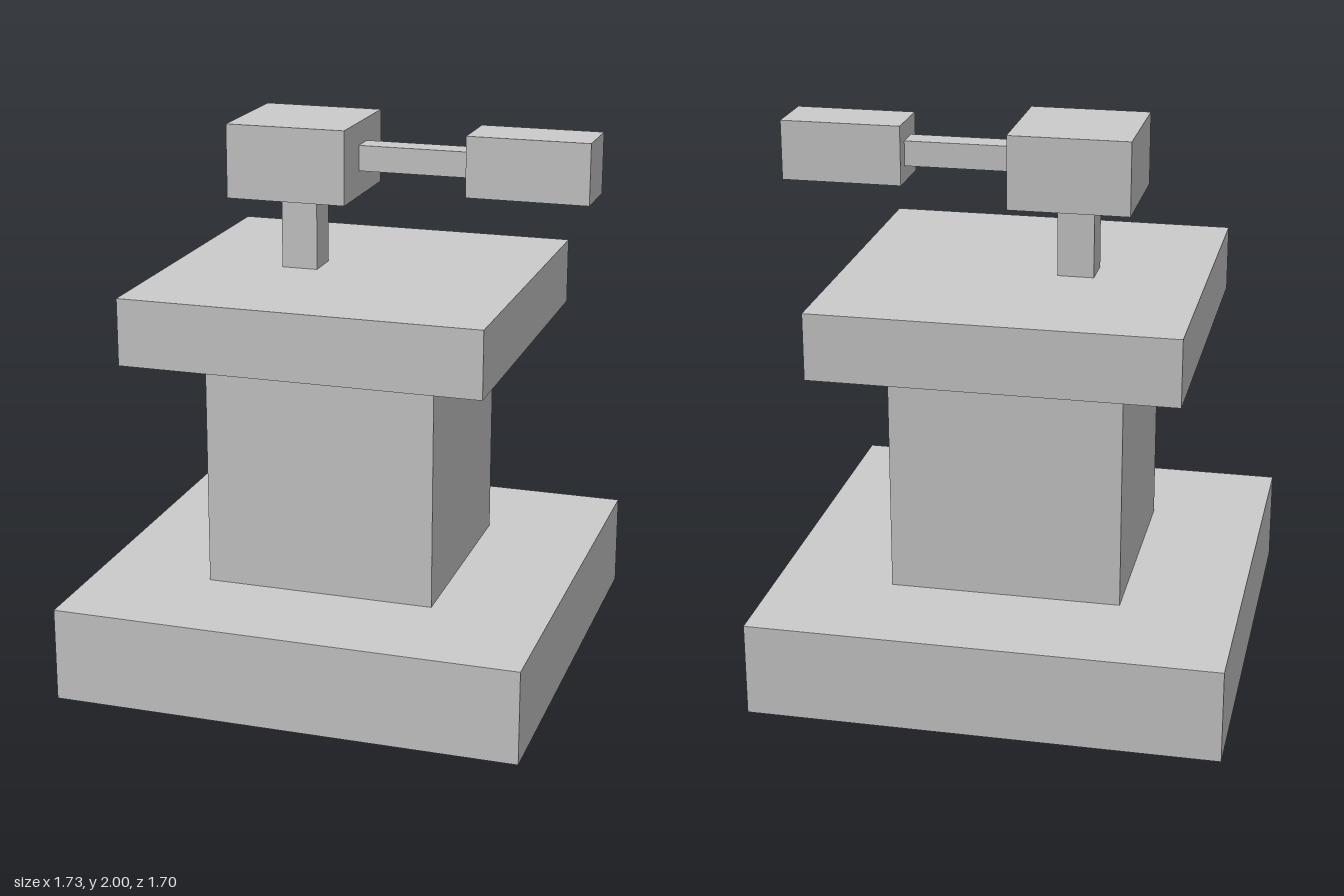
import * as THREE from 'three';

export function createModel() {
  const model = new THREE.Group();
  model.name = 'pedestalTurret';
  const material = new THREE.MeshStandardMaterial({ color: 0xcccccc, flatShading: true });

  // Box given by its x and y extents and its depth, centred on z = 0
  function addBox(name, x0, x1, y0, y1, depth) {
    const mesh = new THREE.Mesh(new THREE.BoxGeometry(x1 - x0, y1 - y0, depth), material);
    mesh.name = name;
    mesh.position.set((x0 + x1) / 2, (y0 + y1) / 2, 0);
    model.add(mesh);
  }

  // Pedestal
  addBox('base', -0.867, 0.833, 0, 0.343, 1.7);
  addBox('column', -0.439, 0.405, 0.343, 1.212, 0.844);
  addBox('platform', -0.671, 0.637, 1.212, 1.455, 1.308);

  // Turret with its side arm
  addBox('post', -0.27, -0.137, 1.455, 1.733, 0.134);
  addBox('head', -0.422, 0.016, 1.733, 2, 0.438);
  addBox('arm', 0.016, 0.425, 1.825, 1.917, 0.098);
  addBox('armEnd', 0.425, 0.865, 1.767, 1.985, 0.218);

  return model;
}
